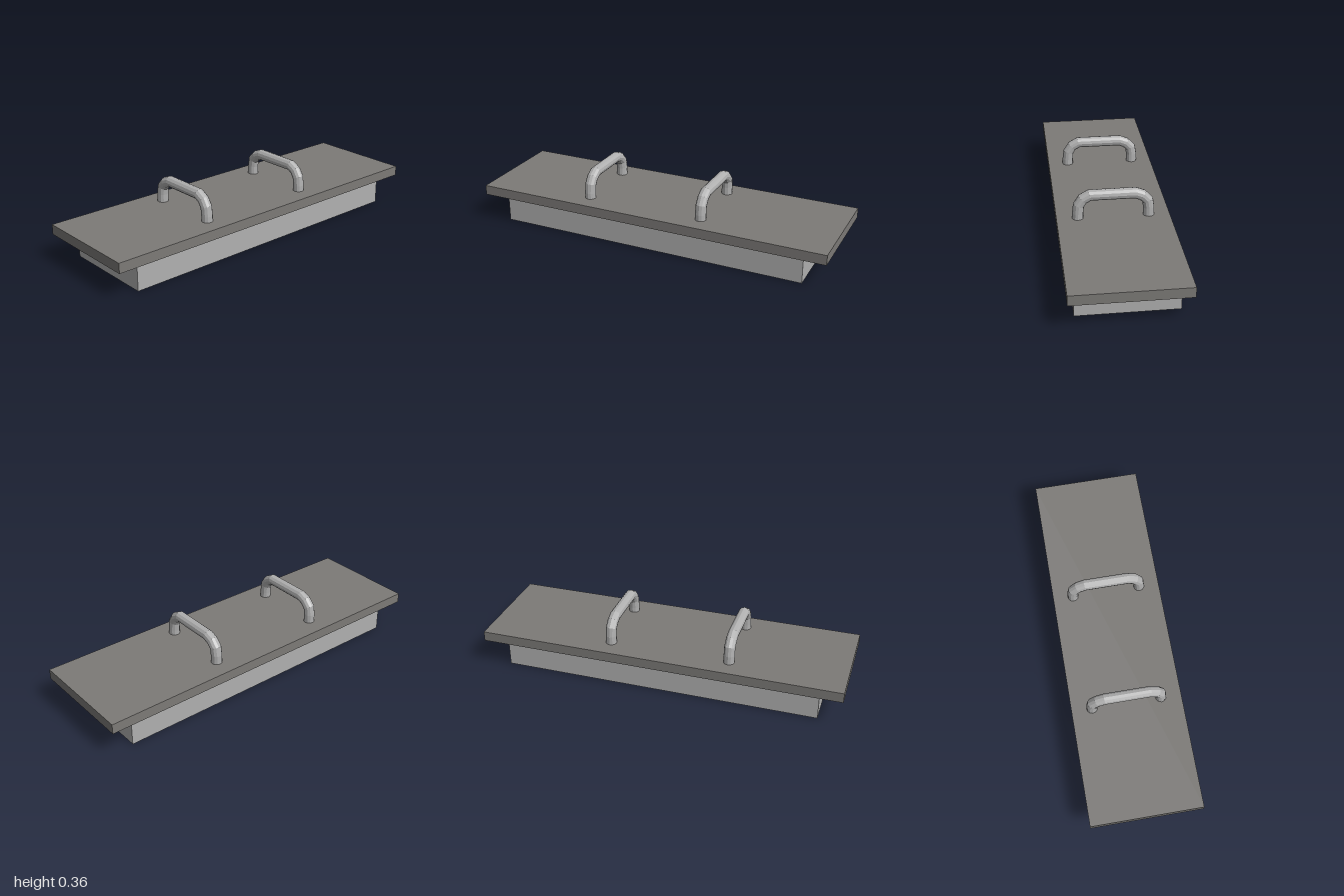
import * as THREE from 'three';

// Sweep a round bar along a [z, y] path by bending a straight cylinder
function bentBar(path, radius, sides) {
  const last = path.length - 1;
  const points = path.map(([z, y]) => new THREE.Vector3(0, y, z));
  const geometry = new THREE.CylinderGeometry(radius, radius, last, sides, last, true);
  const position = geometry.attributes.position;
  for (let v = 0; v < position.count; v++) {
    const i = Math.round(position.getY(v) + last / 2);
    // Average the two neighbouring directions so that joints are mitred
    const into = points[Math.max(i, 1)].clone().sub(points[Math.max(i, 1) - 1]).normalize();
    const out = points[Math.min(i + 1, last)].clone().sub(points[Math.min(i, last - 1)]).normalize();
    const t = into.add(out).normalize();
    const n = position.getZ(v);
    position.setXYZ(v, position.getX(v), points[i].y - t.z * n, points[i].z + t.y * n);
  }
  geometry.computeVertexNormals();
  return geometry;
}

export function createModel() {
  const model = new THREE.Group();
  model.name = 'handledLid';

  const lightGrey = new THREE.MeshStandardMaterial({ color: 0xb0b0b0, flatShading: true });
  lightGrey.name = 'lightGrey';
  const darkGrey = new THREE.MeshStandardMaterial({ color: 0x7c7a77, flatShading: true });
  darkGrey.name = 'darkGrey';

  const add = (name, geometry, material, x, y) => {
    const mesh = new THREE.Mesh(geometry, material);
    mesh.name = name;
    mesh.position.set(x, y, 0);
    model.add(mesh);
  };

  // Inset block below the overhanging plate
  add('base', new THREE.BoxGeometry(1.746, 0.15, 0.524), lightGrey, -0.001, 0.075);
  add('topPlate', new THREE.BoxGeometry(2, 0.055, 0.6), darkGrey, 0, 0.1775);

  // Two bent bar handles running front to back
  const path = [
    [0.188, 0.19], [0.187, 0.235], [0.182, 0.281], [0.161, 0.314], [0.124, 0.335],
    [-0.116, 0.335], [-0.154, 0.32], [-0.182, 0.291], [-0.188, 0.25], [-0.188, 0.19],
  ];
  const handle = bentBar(path, 0.03, 12);
  add('rightHandle', handle, lightGrey, -0.377, 0);
  add('leftHandle', handle, lightGrey, 0.284, 0);

  return model;
}
